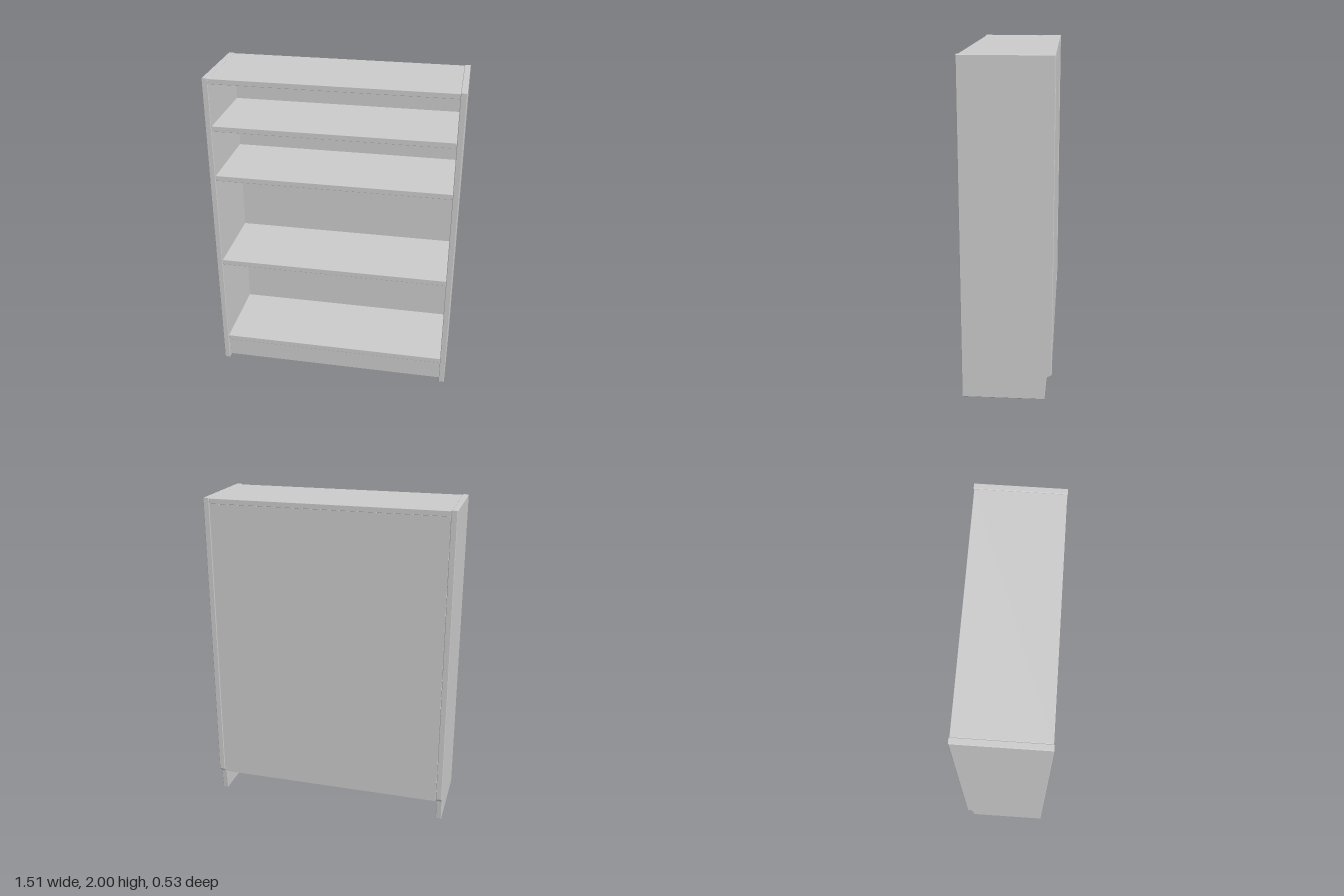
import * as THREE from 'three';
import { RoundedBoxGeometry } from 'three/addons/geometries/RoundedBoxGeometry.js';

const material = new THREE.MeshStandardMaterial({ color: 0xcccccc, flatShading: true });
const INNER = 0.72; // inner face of the side panels

export function createModel() {
  const group = new THREE.Group();

  const add = (name, geometry, x = 0, y = 0, z = 0) => {
    const mesh = new THREE.Mesh(geometry, material);
    mesh.name = name;
    mesh.position.set(x, y, z);
    group.add(mesh);
  };

  // Board spanning the two sides, given its height and depth limits
  const board = (name, y0, y1, z0, z1, radius = 0.002) =>
    add(name, new RoundedBoxGeometry(2 * INNER, y1 - y0, z1 - z0, 1, radius),
      0, (y0 + y1) / 2, (z0 + z1) / 2);

  // Side panel profile, drawn as (-z, y), with the skirting cut-out at the lower back
  const bevel = 0.003;
  const profile = new THREE.Shape();
  profile.moveTo(-0.262, bevel);
  profile.lineTo(0.219, bevel);
  profile.lineTo(0.229, 0.13);
  profile.quadraticCurveTo(0.231, 0.146, 0.245, 0.15);
  profile.quadraticCurveTo(0.257, 0.153, 0.26, 0.165);
  profile.lineTo(0.26, 2 - bevel);
  profile.lineTo(-0.262, 2 - bevel);
  profile.closePath();
  const thickness = 0.036;
  const side = new THREE.ExtrudeGeometry(profile, {
    depth: thickness - 2 * bevel, bevelEnabled: true, bevelSize: bevel,
    bevelThickness: bevel, bevelSegments: 1, curveSegments: 6,
  });
  side.rotateY(Math.PI / 2);
  add('leftSide', side, INNER + bevel);
  add('rightSide', side, -INNER - thickness + bevel);

  // Top, shelves and base shelf
  board('top', 1.965, 1.997, -0.26, 0.262);
  [1.688, 1.365, 0.765].forEach((y, i) =>
    board('shelf' + (i + 1), y - 0.017, y + 0.017, -0.251, 0.257));
  board('baseShelf', 0.147, 0.181, -0.251, 0.259);

  // Recessed plinth below the base shelf
  board('plinth', 0.008, 0.148, 0.205, 0.237);

  // Thin back panel
  add('backPanel', new THREE.BoxGeometry(2 * INNER - 0.004, 1.818, 0.01), 0, 1.056, -0.255);

  return group;
}
